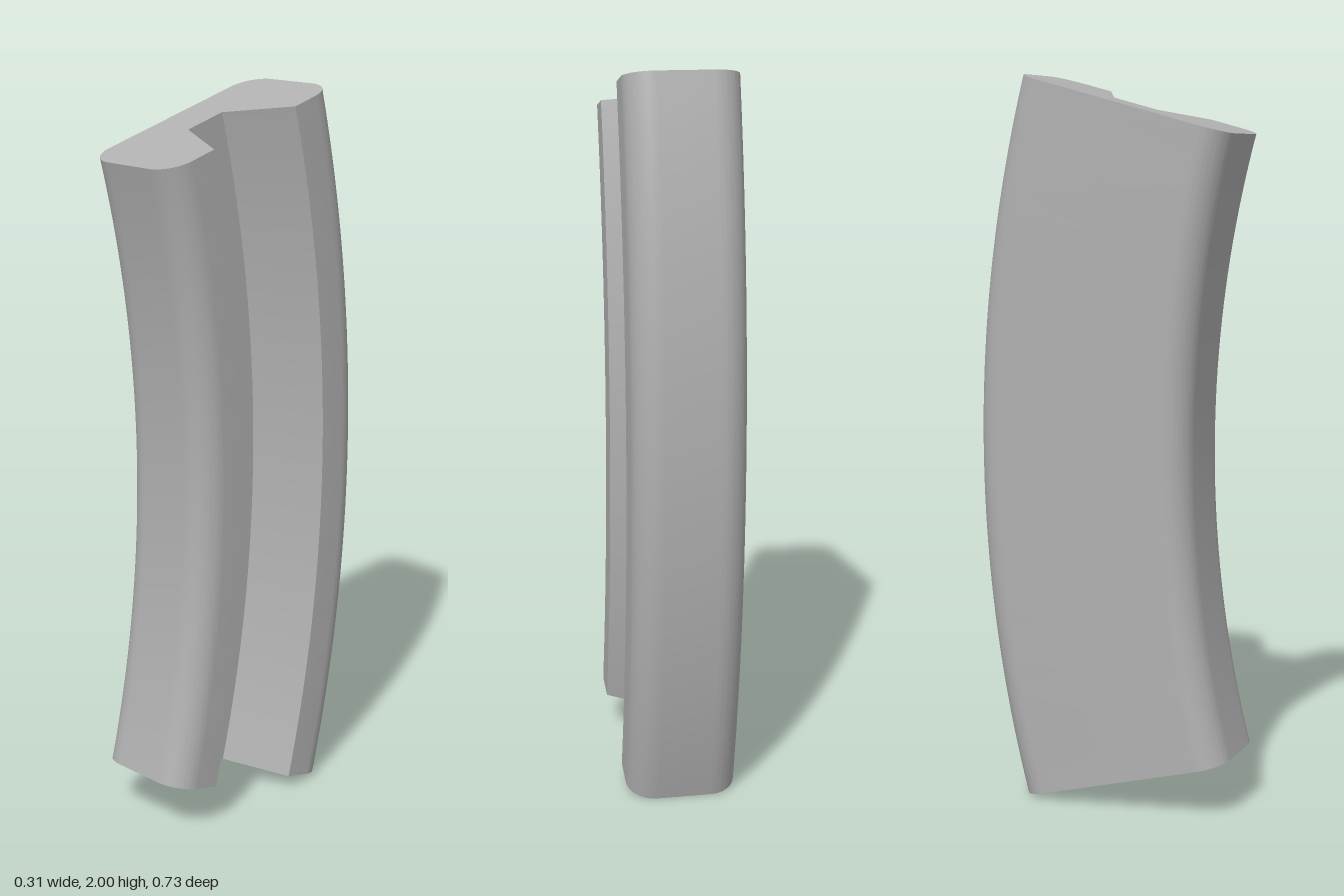
import * as THREE from 'three';
import { toCreasedNormals } from 'three/addons/utils/BufferGeometryUtils.js';

const INNER = 3.245, OUTER = 3.864;   // radii of the concave and convex faces
const MID = (INNER + OUTER) / 2;
const CENTRE_Z = 3.501;               // arc axis, in front of the model
const HALF_ANGLE = Math.PI / 12;
const HALF_WIDTH = 0.153, CORNER = 0.078;

// Cross-section: rounded bar with a tapered groove in the +x side
function crossSection() {
  const w = HALF_WIDTH, c = CORNER, s = new THREE.Shape();
  s.moveTo(-w + c, INNER);
  s.lineTo(w - c, INNER);
  s.absarc(w - c, INNER + c, c, -Math.PI / 2, 0, false);
  s.lineTo(w, MID - 0.154);
  s.lineTo(-0.028, MID - 0.064);
  s.lineTo(-0.028, MID + 0.064);
  s.lineTo(w, MID + 0.154);
  s.lineTo(w, OUTER - c);
  s.absarc(w - c, OUTER - c, c, 0, Math.PI / 2, false);
  s.lineTo(-w + c, OUTER);
  s.absarc(-w + c, OUTER - c, c, Math.PI / 2, Math.PI, false);
  s.lineTo(-w, INNER + c);
  s.absarc(-w + c, INNER + c, c, Math.PI, Math.PI * 1.5, false);
  return s;
}

export function createModel() {
  const grey = new THREE.MeshStandardMaterial({ color: 0xb0b0b0 });
  grey.name = 'grey';

  const geometry = new THREE.ExtrudeGeometry(crossSection(), {
    depth: 1, steps: 40, curveSegments: 10, bevelEnabled: false,
  });

  // Bend the straight bar: section height becomes radius, depth becomes angle
  const p = geometry.attributes.position;
  for (let i = 0; i < p.count; i++) {
    const r = p.getY(i), a = (p.getZ(i) * 2 - 1) * HALF_ANGLE;
    p.setXYZ(i, p.getX(i), 1 + r * Math.sin(a), CENTRE_Z - r * Math.cos(a));
  }

  const bar = new THREE.Mesh(toCreasedNormals(geometry, 0.6), grey);
  bar.name = 'groovedArcSegment';

  const group = new THREE.Group();
  group.name = 'curvedGroovedBar';
  group.add(bar);
  return group;
}
